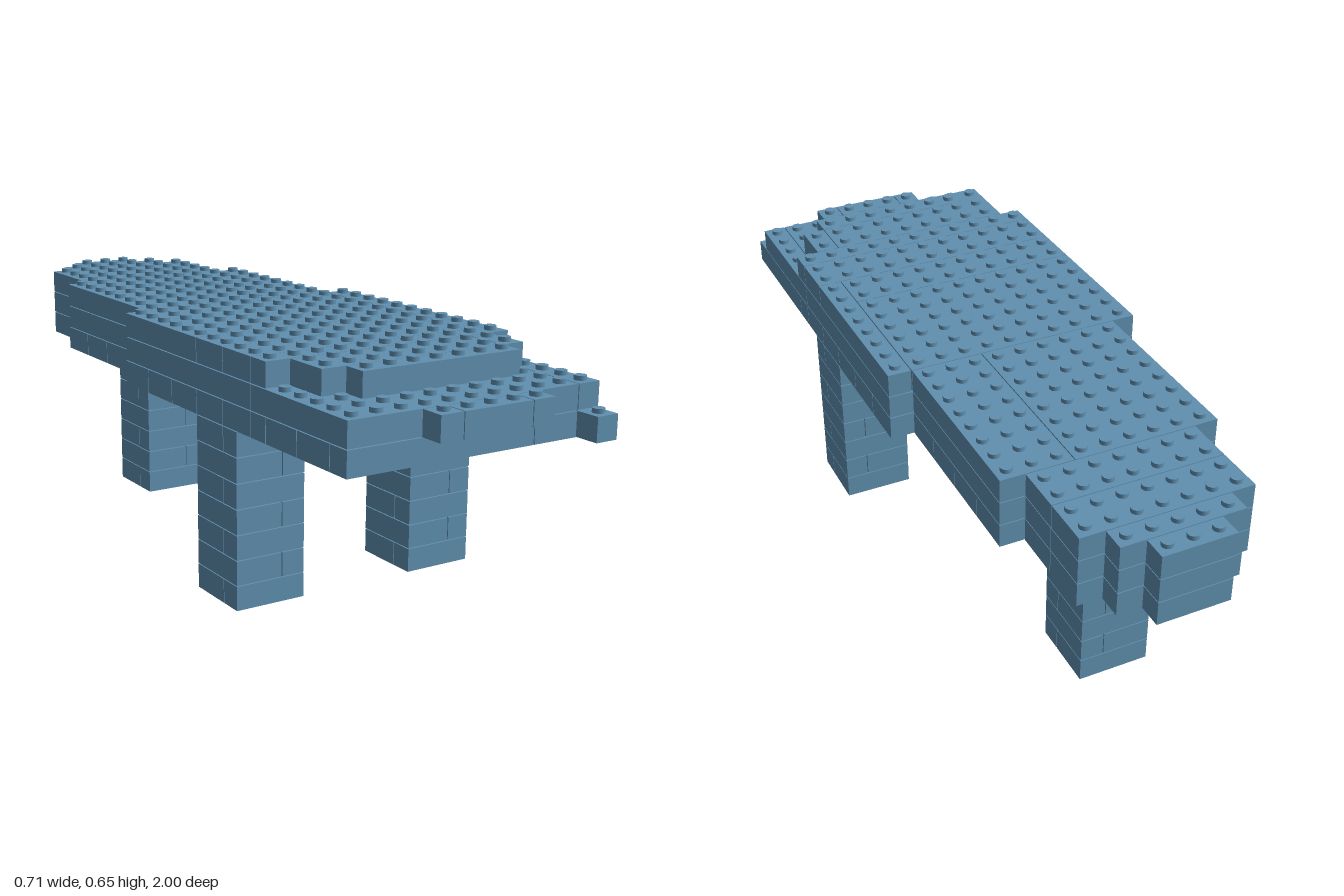
import * as THREE from 'three';
import { mergeGeometries } from 'three/addons/utils/BufferGeometryUtils.js';

const U = 2 / 31;      // stud pitch, also the brick height
const GAP = 0.0024;    // seam between neighbouring bricks
const X0 = -5.5 * U, Z0 = -1;

// A brick covers columns i0..i1 (from the right side), rows k0..k1 (from the back)
function brick([i0, i1, k0, k1], layer) {
  return new THREE.BoxGeometry((i1 - i0) * U - GAP, U - GAP, (k1 - k0) * U - GAP)
    .translate(X0 + (i0 + i1) / 2 * U, (layer + 0.5) * U, Z0 + (k0 + k1) / 2 * U);
}

function stud(i, k, layer) {
  const h = 0.0115;
  return new THREE.CylinderGeometry(0.0152, 0.0152, h, 16)
    .translate(X0 + (i + 0.5) * U, (layer + 1) * U - GAP / 2 + h / 2, Z0 + (k + 0.5) * U);
}

const covers = (bricks, i, k) =>
  bricks.some(([a, b, c, d]) => i >= a && i < b && k >= c && k < d);

// Stepped tail shared by the three deck layers
const tail = [[4, 7, 0, 1], [3, 8, 1, 2], [2, 9, 2, 4], [2, 9, 4, 6]];

// Bottom deck: crosswise planks and one long brick on the left edge
const bottomDeck = [...tail, [10, 11, 25, 31], [0, 8, 29, 30], [8, 10, 29, 30]];
for (let k = 6; k < 14; k += 2) {
  const s = k % 4 ? 4 : 7;
  bottomDeck.push([1, s, k, k + 2], [s, 10, k, k + 2]);
}
for (let k = 14; k < 24; k += 2) {
  const s = k % 4 ? 8 : 3;
  bottomDeck.push([0, s, k, k + 2], [s, 11, k, k + 2]);
}
bottomDeck.push([0, 11, 24, 25], [0, 4, 25, 27], [4, 10, 25, 27], [0, 10, 27, 29]);

const middleDeck = [...tail, [1, 10, 6, 14], [0, 11, 14, 24], [0, 10, 24, 30],
  [10, 11, 24, 30], [3, 4, 30, 31], [4, 7, 30, 31], [7, 8, 30, 31]];

const topDeck = [...tail, [1, 7, 6, 14], [7, 10, 6, 14], [0, 10, 14, 20],
  [10, 11, 14, 22], [0, 10, 20, 22], [0, 11, 22, 24], [0, 11, 24, 25],
  [1, 9, 25, 27], [9, 10, 25, 27], [2, 9, 27, 28]];

export function createModel() {
  const group = new THREE.Group();
  const blue = new THREE.MeshStandardMaterial({ color: 0x6090b0 });
  blue.name = 'steel blue';
  const add = (name, geometries) => {
    const mesh = new THREE.Mesh(mergeGeometries(geometries), blue);
    mesh.name = name;
    group.add(mesh);
  };

  // Legs: seven courses with the seam direction alternating
  const legs = { frontRightLeg: [0, 20], frontLeftLeg: [8, 20], backLeg: [4, 5] };
  for (const [name, [i, k]] of Object.entries(legs)) {
    const parts = [];
    for (let layer = 0; layer < 7; layer++) {
      const pair = layer % 2
        ? [[i, i + 2, k, k + 3], [i + 2, i + 3, k, k + 3]]
        : [[i, i + 3, k, k + 2], [i, i + 3, k + 2, k + 3]];
      parts.push(...pair.map((b) => brick(b, layer)));
    }
    add(name, parts);
  }

  // Decks, with studs wherever nothing lies on top
  const decks = [['bottomDeck', bottomDeck], ['middleDeck', middleDeck], ['topDeck', topDeck]];
  decks.forEach(([name, bricks], n) => {
    const layer = 7 + n, above = n < 2 ? decks[n + 1][1] : [];
    add(name, bricks.map((b) => brick(b, layer)));
    const studs = [];
    for (let i = 0; i < 11; i++) {
      for (let k = 0; k < 31; k++) {
        if (covers(bricks, i, k) && !covers(above, i, k)) studs.push(stud(i, k, layer));
      }
    }
    add(name + 'Studs', studs);
  });
  return group;
}
